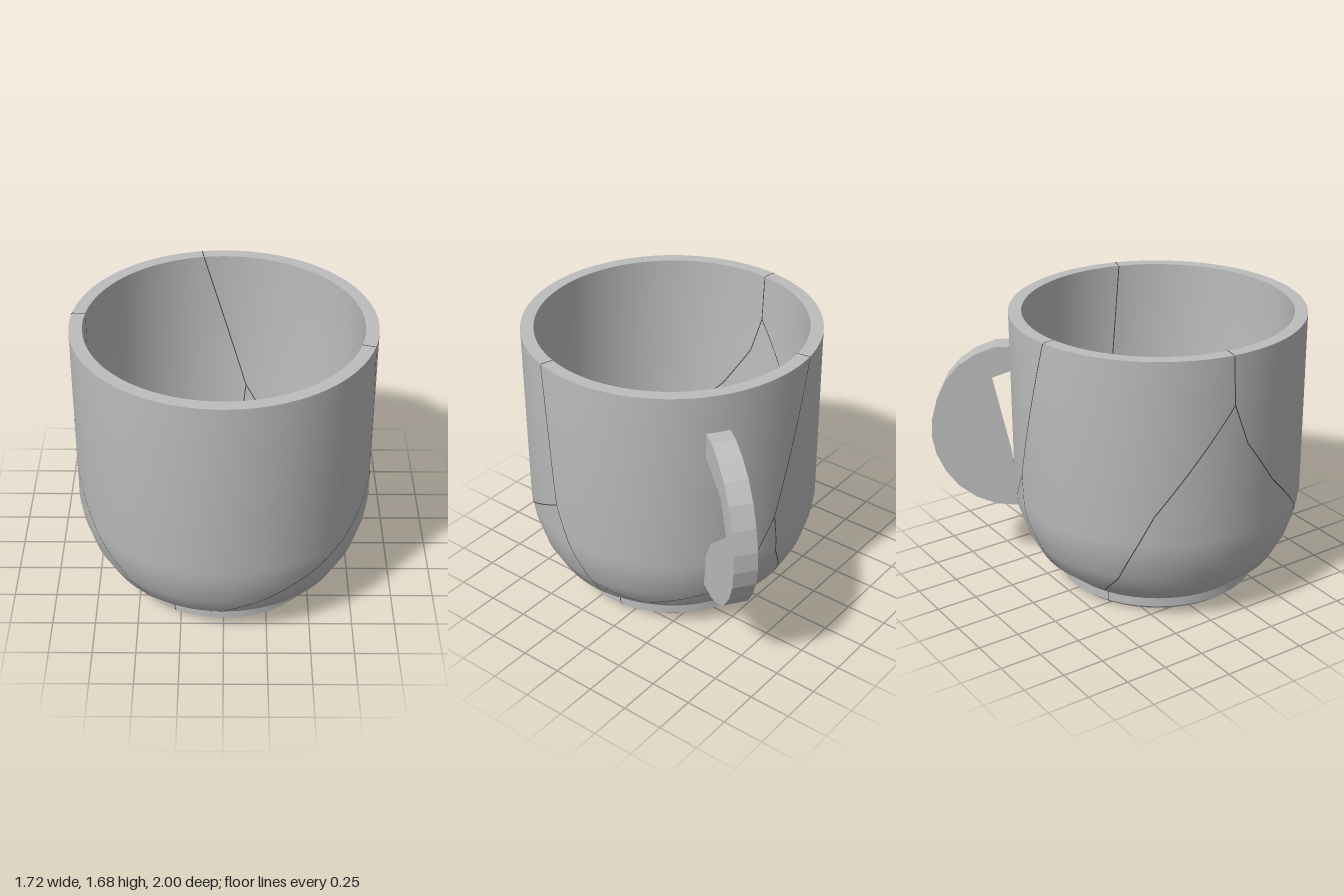
import * as THREE from 'three';
import { toCreasedNormals } from 'three/addons/utils/BufferGeometryUtils.js';

const CENTER_Z = 0.14, HEIGHT = 1.675, FLOOR = 0.18;

// profiles as [radius, y], from the base up
const OUTER = [[0.56, 0], [0.595, 0.03], [0.595, 0.085], [0.73, 0.2], [0.8, 0.33], [0.845, 0.48], [0.86, 0.58], [0.86, HEIGHT]];
const INNER = [[0.605, FLOOR], [0.68, 0.25], [0.735, 0.36], [0.772, 0.48], [0.785, 0.58], [0.785, HEIGHT]];

function radiusAt(profile, y) {
  for (let i = 1; i < profile.length; i++) {
    const [r0, y0] = profile[i - 1], [r1, y1] = profile[i];
    if (y <= y1) return THREE.MathUtils.lerp(r0, r1, THREE.MathUtils.clamp((y - y0) / (y1 - y0), 0, 1));
  }
  return profile[profile.length - 1][0];
}

// flat strip along points, lying across the given surface normals
function ribbon(points, normals, width = 0.006) {
  const pos = [], nor = [], index = [];
  points.forEach((p, i) => {
    const a = points[Math.max(i - 1, 0)], b = points[Math.min(i + 1, points.length - 1)];
    const side = b.clone().sub(a).cross(normals[i]).normalize().multiplyScalar(width / 2);
    for (const s of [1, -1]) {
      pos.push(...p.clone().addScaledVector(side, s).toArray());
      nor.push(...normals[i].toArray());
    }
    if (i) { const k = 2 * i; index.push(k - 2, k, k - 1, k - 1, k, k + 1); }
  });
  const g = new THREE.BufferGeometry();
  g.setAttribute('position', new THREE.Float32BufferAttribute(pos, 3));
  g.setAttribute('normal', new THREE.Float32BufferAttribute(nor, 3));
  g.setIndex(index);
  return g;
}

// crack paths as [degrees from the front towards +x, y]
const CRACKS = [
  [[73, HEIGHT], [78, 0.79], [92, 0.29], [97, 0]],
  [[78, 0.79], [37, 0.45], [0, 0.21], [-29, 0.14], [-28, 0]],
  [[-29, 0.14], [-35, 0.2], [-57, 0.58], [-76, 0.85], [-90, 1.14], [-96, 1.385], [-97, HEIGHT]],
  [[-96, 1.385], [-126, 0.76], [-141, 0.31], [-153, 0.12], [-153, 0]],
  [[207, 0.12], [184, 0.18], [172, 0.5], [170, 0.77], [189, HEIGHT]],
  [[170, 0.77], [156, 0.44], [143, 0.32], [115, 0.21], [92, 0.29]],
];

function wallCrack(path, profile, sign) {
  const points = [], normals = [];
  for (let i = 1; i < path.length; i++) {
    for (let s = i > 1 ? 1 : 0; s <= 12; s++) {
      const a = THREE.MathUtils.degToRad(THREE.MathUtils.lerp(path[i - 1][0], path[i][0], s / 12));
      const y = THREE.MathUtils.lerp(path[i - 1][1], path[i][1], s / 12);
      if (y < profile[0][1]) continue;
      const r = radiusAt(profile, y) + sign * 0.003;
      points.push(new THREE.Vector3(Math.sin(a) * r, y, Math.cos(a) * r));
      const slope = (radiusAt(profile, y + 0.01) - radiusAt(profile, y - 0.01)) / 0.02;
      normals.push(new THREE.Vector3(Math.sin(a), -slope, Math.cos(a)).normalize().multiplyScalar(sign));
    }
  }
  return points.length > 1 ? ribbon(points, normals) : null;
}

export function createModel() {
  const model = new THREE.Group();
  model.name = 'crackedMug';
  const ceramic = new THREE.MeshStandardMaterial({ color: 0xbcbcbc });
  ceramic.name = 'grey ceramic';
  ceramic.side = THREE.DoubleSide;
  const dark = new THREE.MeshStandardMaterial({ color: 0x484848 });
  dark.name = 'dark crack';
  dark.side = THREE.DoubleSide;

  const mug = new THREE.Group();
  mug.name = 'mug';
  mug.position.z = CENTER_Z;
  model.add(mug);
  const add = (parent, geometry, material, name) => {
    const mesh = new THREE.Mesh(geometry, material);
    mesh.name = name;
    parent.add(mesh);
    return mesh;
  };

  // cup: one closed wall with foot ring, rim and inner floor
  const profile = [[0, 0], ...OUTER, ...INNER.slice().reverse(), [0, FLOOR]].map(p => new THREE.Vector2(...p));
  add(mug, toCreasedNormals(new THREE.LatheGeometry(profile, 96), 0.6), ceramic, 'cup');

  // handle: flat C-shaped slab set radially towards the back left
  const handle = new THREE.Group();
  handle.name = 'handle';
  handle.rotation.y = 0.958;
  mug.add(handle);
  const W = 0.135;
  const outline = [
    [0.85, 1.45], [0.95, 1.445], [1.06, 1.40], [1.16, 1.33], [1.24, 1.235], [1.3, 1.11], [1.335, 0.98],
    [1.34, 0.87], [1.32, 0.76], [1.27, 0.65], [1.195, 0.55], [1.09, 0.475], [0.97, 0.43], [0.83, 0.42],
    [0.85, 0.63], [0.95, 0.79], [1.21, 1.02], [1.11, 1.2], [0.85, 1.3],
  ].map(p => new THREE.Vector2(...p));
  const slab = new THREE.ExtrudeGeometry(new THREE.Shape(outline), { depth: W, bevelEnabled: false });
  slab.translate(0, 0, -W / 2);
  add(handle, toCreasedNormals(slab, 0.1), ceramic, 'handleSlab');

  // web closing most of the opening on the far side
  const web = [[0.85, 0.62], [0.95, 0.78], [1.21, 1.02], [1.11, 1.2], [0.966, 1.255], [0.868, 0.79]];
  const webShape = new THREE.Shape(web.map(p => new THREE.Vector2(...p)));
  add(handle, new THREE.ShapeGeometry(webShape), ceramic, 'handleWeb').position.z = -W / 2;

  // cracks over the outer and inner wall
  for (const path of CRACKS) {
    add(mug, wallCrack(path, OUTER, 1), dark, 'outerCrack');
    const inside = wallCrack(path, INNER, -1);
    if (inside) add(mug, inside, dark, 'innerCrack');
  }

  // cracks across the rim
  const up = new THREE.Vector3(0, 1, 0), down = new THREE.Vector3(0, -1, 0);
  for (const deg of [73, -97, 189]) {
    const a = THREE.MathUtils.degToRad(deg);
    const pts = [0.785, 0.86].map(r => new THREE.Vector3(Math.sin(a) * r, HEIGHT + 0.002, Math.cos(a) * r));
    add(mug, ribbon(pts, [up, up]), dark, 'rimCrack');
  }

  // cracks across the floor and underside, as [x, z] from the cup axis
  const floorCracks = [
    [[-0.605, -0.04], [0.04, -0.02], [0.11, -0.05], [0.605, -0.05]],
    [[0.11, -0.05], [-0.28, -0.535]],
    [[0.04, -0.02], [-0.27, 0.51], [-0.3, 0.525]],
  ];
  for (const path of floorCracks) {
    for (const [y, n, k, name] of [[FLOOR + 0.002, up, 1, 'floorCrack'], [-0.001, down, 0.92, 'undersideCrack']]) {
      const pts = path.map(([x, z]) => new THREE.Vector3(x * k, y, z * k));
      add(mug, ribbon(pts, pts.map(() => n)), dark, name);
    }
  }
  return model;
}
